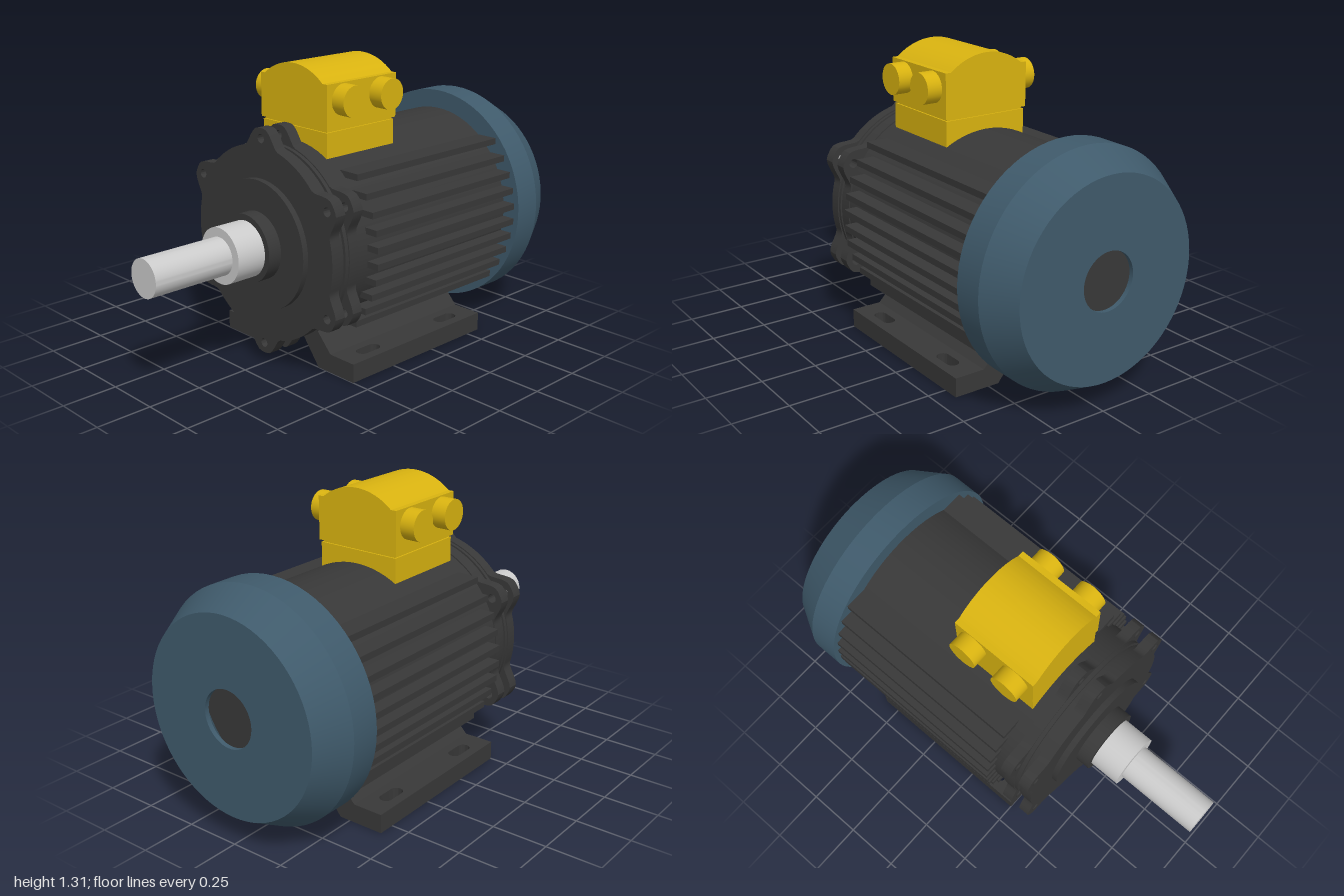
import * as THREE from 'three';
import { toCreasedNormals } from 'three/addons/utils/BufferGeometryUtils.js';

const AXIS_Y = 0.555; // height of the shaft axis

const iron = new THREE.MeshStandardMaterial({ color: 0x383838 });
const yellow = new THREE.MeshStandardMaterial({ color: 0xd9b310 });
const blue = new THREE.MeshStandardMaterial({ color: 0x3f5a6b });
const steel = new THREE.MeshStandardMaterial({ color: 0xcccccc });

export function createModel() {
  const model = new THREE.Group();
  model.name = 'electricMotor';

  const add = (name, geometry, material, x = 0, y = 0, z = 0) => {
    const mesh = new THREE.Mesh(geometry, material);
    mesh.name = name;
    mesh.position.set(x, y, z);
    model.add(mesh);
    return mesh;
  };

  // Turned part around the shaft axis; profile is [radius, x] with x rising on the outside
  const turned = (name, profile, material) => {
    const lathe = new THREE.LatheGeometry(profile.map(([r, x]) => new THREE.Vector2(r, x)), 72);
    lathe.rotateZ(-Math.PI / 2);
    return add(name, toCreasedNormals(lathe, 0.4), material, 0, AXIS_Y);
  };

  // Shape drawn in the z-y plane and extruded along x from x0 to x1
  const alongX = (name, shape, x0, x1, material, y = 0) => {
    const geometry = new THREE.ExtrudeGeometry(shape, { depth: x1 - x0, bevelEnabled: false, curveSegments: 24 });
    geometry.rotateY(Math.PI / 2);
    return add(name, toCreasedNormals(geometry, 0.4), material, x0, y);
  };

  const polygon = (points) => new THREE.Shape(points.map(([a, b]) => new THREE.Vector2(a, b)));

  // Stepped shaft, running through to the fan end
  turned('shaft', [[0, -1], [0.083, -1], [0.083, -0.62], [0.123, -0.62], [0.123, 0.75], [0, 0.75]], steel);

  // Housing with the front bearing hub and a narrow joint groove
  turned('housing', [
    [0.12, -0.48], [0.15, -0.48], [0.15, -0.415], [0.287, -0.415], [0.287, -0.385],
    [0.425, -0.385], [0.425, -0.32], [0.41, -0.32], [0.41, -0.308], [0.425, -0.308],
    [0.425, 0.74], [0, 0.74],
  ], iron);

  // Horizontal cooling fins, tips on a common circle
  for (let i = 0; i < 10; i++) {
    const y = (i - 4.5) * 0.072;
    const width = 2 * Math.sqrt(0.485 ** 2 - y * y);
    add('coolingFin', new THREE.BoxGeometry(0.9, 0.028, width), iron, 0.27, AXIS_Y + y, 0);
  }

  // Pair of six-lobed flanges with bolt holes
  const flange = new THREE.Shape();
  const steps = 180;
  for (let i = 0; i < steps; i++) {
    const angle = (i / steps) * Math.PI * 2;
    const sector = Math.PI / 3;
    const offset = Math.abs((angle % sector) - sector / 2); // from the lobe centre
    const r = 0.43 + 0.075 * (1 - THREE.MathUtils.smoothstep(offset, 0.04, 0.25));
    const px = r * Math.cos(angle), py = r * Math.sin(angle);
    if (i === 0) flange.moveTo(px, py);
    else flange.lineTo(px, py);
  }
  for (let i = 0; i < 6; i++) {
    const angle = ((i + 0.5) * Math.PI) / 3;
    const hole = new THREE.Path();
    hole.absarc(0.46 * Math.cos(angle), 0.46 * Math.sin(angle), 0.02, 0, Math.PI * 2, true);
    flange.holes.push(hole);
  }
  alongX('frontFlange', flange, -0.388, -0.336, iron, AXIS_Y);
  alongX('rearFlange', flange, -0.29, -0.238, iron, AXIS_Y);

  // Fan cowl: hollow shell with a round opening at the back
  turned('fanCowl', [
    [0.42, 0.72], [0.51, 0.72], [0.51, 0.855], [0.43, 1], [0.125, 1],
    [0.125, 0.98], [0.415, 0.98], [0.49, 0.85], [0.49, 0.735], [0.42, 0.735],
  ], blue);

  // Feet: sloping web plus a slotted pad on each side
  const pad = polygon([[-0.25, -0.07], [0.575, -0.07], [0.575, 0.07], [-0.25, 0.07]]);
  for (const x of [-0.09, 0.415]) {
    const slot = new THREE.Path();
    slot.absarc(x + 0.035, 0, 0.028, -Math.PI / 2, Math.PI / 2, false);
    slot.absarc(x - 0.035, 0, 0.028, Math.PI / 2, Math.PI * 1.5, false);
    slot.closePath();
    pad.holes.push(slot);
  }
  const padGeometry = new THREE.ExtrudeGeometry(pad, { depth: 0.085, bevelEnabled: false });
  padGeometry.rotateX(-Math.PI / 2);
  for (const side of [-1, 1]) {
    add('footPad', toCreasedNormals(padGeometry, 0.5), iron, 0, 0, side * 0.345);
    const web = polygon([
      [0.2, 0], [0.275, 0], [0.275, 0.085], [0.19, 0.175], [0.12, 0.2], [0.09, 0.14],
    ].map(([z, y]) => [side * z, y]));
    alongX('footWeb', web, -0.25, 0.575, iron);
  }

  // Terminal box: base on the housing, thin seal, arched lid
  add('terminalBase', new THREE.BoxGeometry(0.4, 0.11, 0.4), yellow, 0, 0.985, 0);
  add('terminalSeal', new THREE.BoxGeometry(0.385, 0.03, 0.385), yellow, 0, 1.045, 0);
  const lid = new THREE.Shape();
  lid.moveTo(-0.207, 1.05);
  lid.lineTo(0.207, 1.05);
  lid.lineTo(0.207, 1.245);
  lid.lineTo(0.18, 1.245);
  const R = 0.2817, half = Math.asin(0.18 / R);
  lid.absarc(0, 1.31 - R, R, Math.PI / 2 - half, Math.PI / 2 + half, false);
  lid.lineTo(-0.207, 1.245);
  lid.closePath();
  alongX('terminalLid', lid, -0.205, 0.205, yellow);

  // Cable glands on both sides of the box
  const gland = new THREE.CylinderGeometry(0.068, 0.068, 0.1, 32).rotateX(Math.PI / 2);
  for (const side of [-1, 1])
    for (const x of [-0.11, 0.11])
      add('cableGland', gland, yellow, x, 1.172, side * 0.226);

  return model;
}
